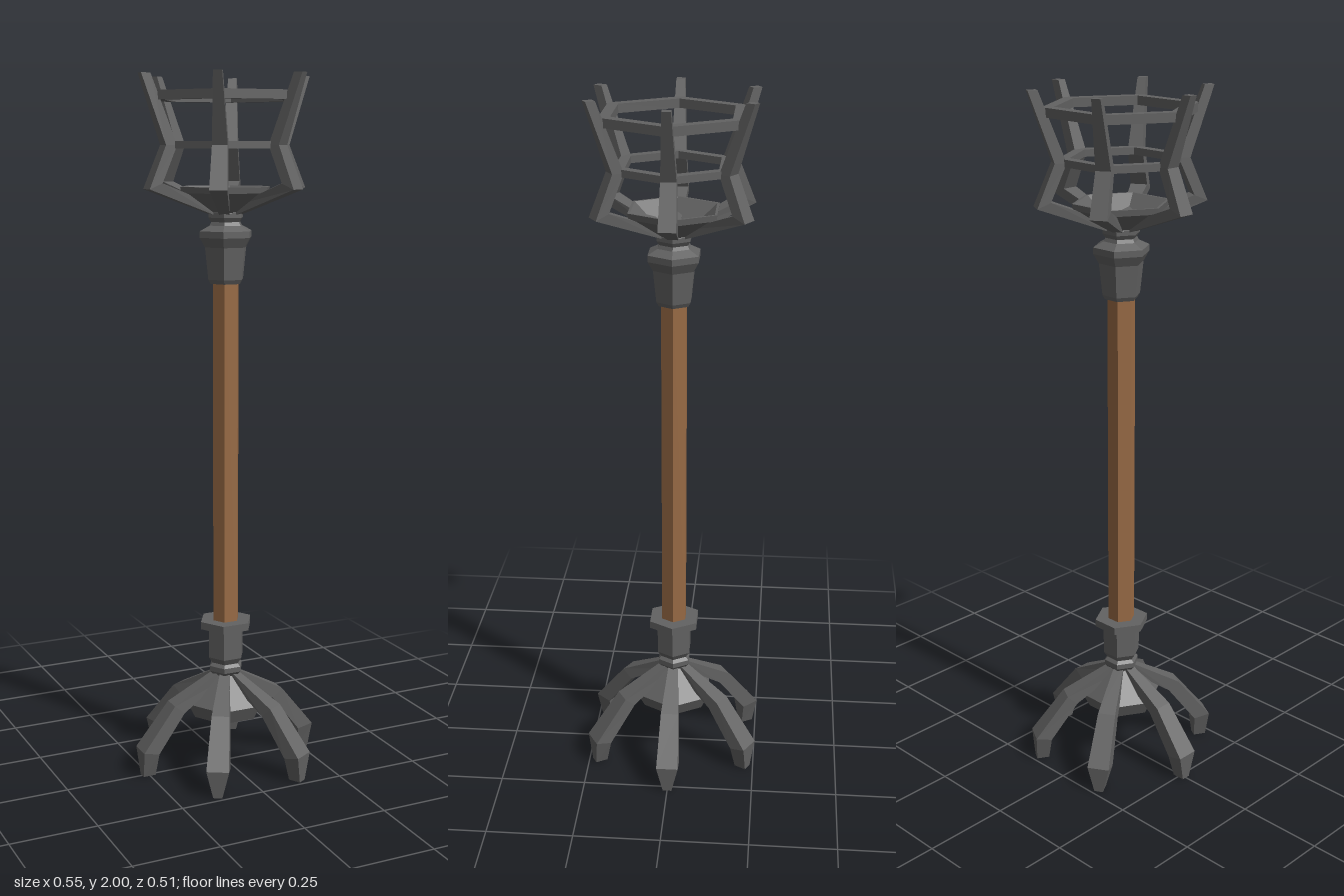
import * as THREE from 'three';

// Faceted copy of a geometry: every face gets its own normal
function faceted(geometry) {
  const g = geometry.index ? geometry.toNonIndexed() : geometry;
  g.computeVertexNormals();
  return g;
}

// Six-sided turned part with corners on the x axis; profile is [radius, y], bottom to top
function hexTurned(profile) {
  const pts = profile.map(([r, y]) => new THREE.Vector2(r, y));
  return faceted(new THREE.LatheGeometry(pts, 6, Math.PI / 2));
}

// Bar lofted through stations [outerX, outerY, innerX, innerY, halfWidth]
function bar(stations) {
  const pos = [];
  const index = [];
  stations.forEach(([ox, oy, ix, iy, w], i) => {
    pos.push(ox, oy, w, ox, oy, -w, ix, iy, -w, ix, iy, w);
    if (i === 0) return;
    for (let j = 0; j < 4; j++) {
      const a = (i - 1) * 4 + j;
      const b = (i - 1) * 4 + ((j + 1) % 4);
      index.push(a, b, b + 4, a, b + 4, a + 4);
    }
  });
  const e = (stations.length - 1) * 4;
  index.push(0, 2, 1, 0, 3, 2, e, e + 1, e + 2, e, e + 2, e + 3);
  const g = new THREE.BufferGeometry();
  g.setAttribute('position', new THREE.Float32BufferAttribute(pos, 3));
  g.setIndex(index);
  return faceted(g);
}

// Closed profile of a flat hexagonal hoop
function hoop(inner, outer, y0, y1) {
  return hexTurned([[inner, y0], [outer, y0], [outer, y1], [inner, y1], [inner, y0]]);
}

export function createModel() {
  const model = new THREE.Group();
  const iron = new THREE.MeshStandardMaterial({ color: 0x626262 });
  const wood = new THREE.MeshStandardMaterial({ color: 0x996b45 });
  iron.name = 'iron';
  wood.name = 'wood';

  const add = (name, geometry, material = iron) => {
    const mesh = new THREE.Mesh(geometry, material);
    mesh.name = name;
    model.add(mesh);
    return mesh;
  };
  const addSix = (name, geometry) => {
    for (let k = 0; k < 6; k++) add(`${name}${k + 1}`, geometry).rotation.y = (k * Math.PI) / 3;
  };

  // Wooden pole
  add('pole', hexTurned([[0, 0.4], [0.04, 0.4], [0.04, 1.46], [0, 1.46]]), wood);

  // Base hub under the legs
  add('baseHub', hexTurned([
    [0, 0.135], [0.1, 0.152], [0.122, 0.195], [0.035, 0.28], [0, 0.28],
  ]));

  // Lower collar
  add('lowerCollar', hexTurned([
    [0, 0.27], [0.04, 0.275], [0.052, 0.288], [0.052, 0.303], [0.043, 0.312],
    [0.055, 0.33], [0.055, 0.418], [0.08, 0.42], [0.08, 0.442], [0, 0.442],
  ]));

  // Upper socket with flared lip and neck ring
  add('upperSocket', hexTurned([
    [0, 1.428], [0.047, 1.428], [0.054, 1.44], [0.064, 1.53], [0.08, 1.557],
    [0.08, 1.575], [0.05, 1.59], [0.045, 1.6], [0.053, 1.612], [0.053, 1.625],
    [0.045, 1.635], [0, 1.635],
  ]));

  // Dish that holds the fire
  add('dish', hexTurned([
    [0, 1.62], [0.05, 1.625], [0.135, 1.68], [0.138, 1.697],
    [0.13, 1.697], [0.07, 1.65], [0, 1.65],
  ]));

  // Clawed legs, from foot to hub
  addSix('leg', bar([
    [0.27, 0, 0.233, 0, 0.013],
    [0.275, 0.08, 0.228, 0.07, 0.032],
    [0.175, 0.206, 0.145, 0.18, 0.026],
    [0.025, 0.288, 0.025, 0.255, 0.014],
  ]));

  // Basket prongs, from hub to tip
  addSix('prong', bar([
    [0.035, 1.617, 0.035, 1.645, 0.014],
    [0.238, 1.692, 0.2, 1.708, 0.024],
    [0.188, 1.81, 0.155, 1.81, 0.021],
    [0.255, 2.0, 0.228, 2.0, 0.012],
  ]));

  // Basket hoops
  add('lowerHoop', hoop(0.142, 0.174, 1.8, 1.82));
  add('upperHoop', hoop(0.182, 0.217, 1.93, 1.955));

  return model;
}
